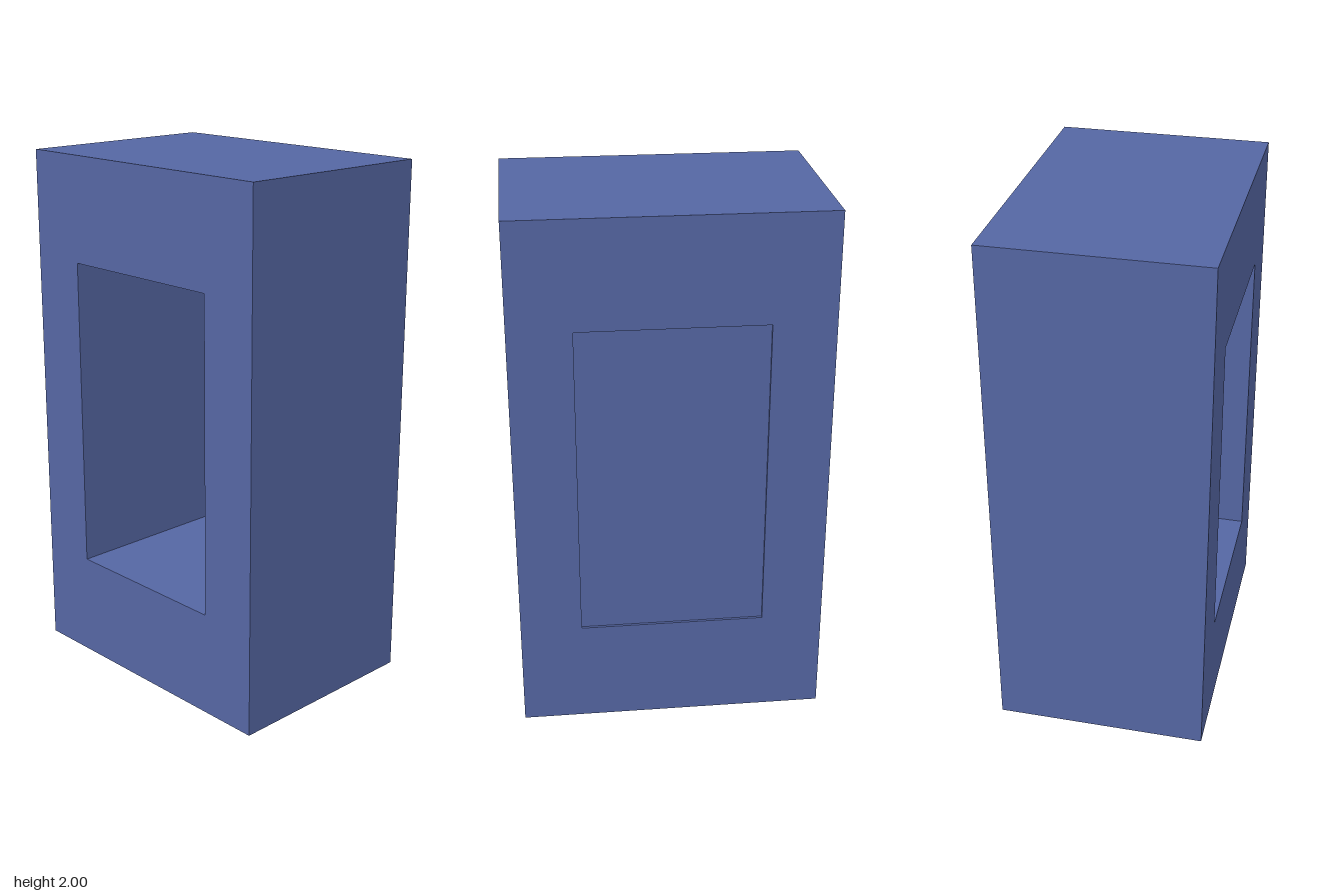
import * as THREE from 'three';

const WIDTH = 1.15, HEIGHT = 2, DEPTH = 0.8;
const OPENING_W = 0.69, OPENING_H = 1.2;
const PANEL_FRONT = -0.355, PANEL_BACK = -0.39;

// Centred rectangle outline, usable as a shape or a hole
function rectangle(PathType, w, h) {
  return new PathType([
    new THREE.Vector2(-w / 2, -h / 2),
    new THREE.Vector2(w / 2, -h / 2),
    new THREE.Vector2(w / 2, h / 2),
    new THREE.Vector2(-w / 2, h / 2),
  ]);
}

export function createModel() {
  const model = new THREE.Group();
  model.name = 'cabinet';
  const material = new THREE.MeshStandardMaterial({ color: 0x5566a3 });

  // Solid block with a rectangular opening through it
  const outline = rectangle(THREE.Shape, WIDTH, HEIGHT);
  outline.holes.push(rectangle(THREE.Path, OPENING_W, OPENING_H));
  const bodyGeometry = new THREE.ExtrudeGeometry(outline, { depth: DEPTH, bevelEnabled: false });
  bodyGeometry.translate(0, HEIGHT / 2, -DEPTH / 2);
  const body = new THREE.Mesh(bodyGeometry, material);
  body.name = 'body';
  model.add(body);

  // Thin panel closing the opening, set in slightly from the back
  const panel = new THREE.Mesh(
    new THREE.BoxGeometry(OPENING_W, OPENING_H, PANEL_FRONT - PANEL_BACK), material);
  panel.name = 'backPanel';
  panel.position.set(0, HEIGHT / 2, (PANEL_FRONT + PANEL_BACK) / 2);
  model.add(panel);

  return model;
}
